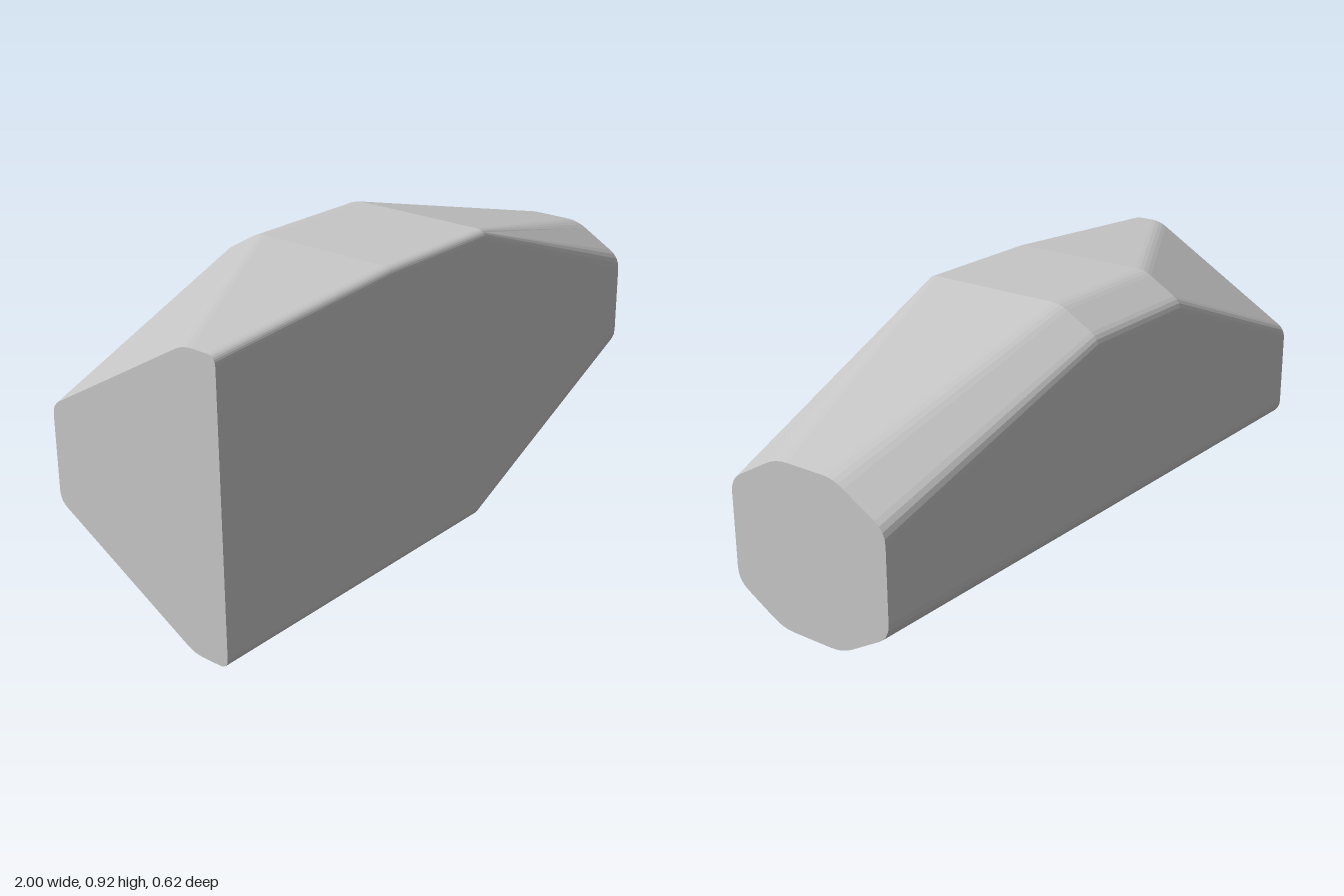
import * as THREE from 'three';

// Cross-sections along x. Eight [z, y] corners each, running from the front top
// down, under, up the back and over; coincident corners merge into one round.
const shoulder = (top, ridgeZ, backY) => [
  [0.31, top], [0.31, 0], [0.31, 0], [0.19, 0],
  [-0.31, 0.289], [-0.31, backY], [ridgeZ, top], [0.31, top],
];
const nose = [
  [0.232, 0.585], [0.232, 0.287], [0.07, 0.193], [-0.144, 0.193],
  [-0.31, 0.289], [-0.31, 0.585], [-0.14, 0.683], [0.06, 0.683],
];
const sections = [
  { x: -1, corners: shoulder(0.87, 0.2, 0.575), round: 0.03 },
  { x: -0.33, corners: shoulder(0.915, -0.175, 0.837), round: 0.03 },
  { x: 0.1, corners: shoulder(0.915, -0.175, 0.837), round: 0.03 },
  { x: 1, corners: nose, round: 0.04 },
];
const STEPS = 4;

// Round every corner with a short curve; merged corners share one curve by halves
function roundedRing({ x, corners, round }) {
  const pts = corners.map(([z, y]) => new THREE.Vector3(x, y, z));
  const n = pts.length;
  const ring = [];
  pts.forEach((p, i) => {
    let prev = pts[(i + n - 1) % n], next = pts[(i + 1) % n];
    let from = 0, to = 1;
    if (next.equals(p)) { next = pts[(i + 2) % n]; to = 0.5; }
    if (prev.equals(p)) { prev = pts[(i + n - 2) % n]; from = 0.5; }
    const toward = (q) => p.clone().add(q.clone().sub(p).setLength(round));
    const curve = new THREE.QuadraticBezierCurve3(toward(prev), p, toward(next));
    for (let k = 0; k <= STEPS; k++) ring.push(curve.getPoint(from + (to - from) * k / STEPS));
  });
  return ring;
}

function toMesh(name, triangles, material) {
  const geometry = new THREE.BufferGeometry().setFromPoints(triangles);
  geometry.computeVertexNormals();
  const mesh = new THREE.Mesh(geometry, material);
  mesh.name = name;
  return mesh;
}

export function createModel() {
  const group = new THREE.Group();
  group.name = 'taperedBlock';
  const grey = new THREE.MeshStandardMaterial({ name: 'light grey', color: 0xc6c6c6 });
  const rings = sections.map(roundedRing);
  const count = rings[0].length;

  // Outer skin between neighbouring sections
  const skin = [];
  for (let s = 0; s < rings.length - 1; s++) {
    for (let i = 0; i < count; i++) {
      const j = (i + 1) % count;
      const a = rings[s][i], b = rings[s + 1][i], c = rings[s + 1][j], d = rings[s][j];
      for (const tri of [[a, d, c], [a, c, b]]) {
        const area = new THREE.Triangle(...tri).getArea();
        if (area > 1e-9) skin.push(...tri);
      }
    }
  }
  group.add(toMesh('body', skin, grey));

  // Flat end faces
  const cap = (ring, flip) => {
    const centre = ring.reduce((sum, p) => sum.add(p), new THREE.Vector3()).divideScalar(count);
    return ring.flatMap((p, i) => {
      const q = ring[(i + 1) % count];
      if (p.distanceTo(q) < 1e-7) return [];
      return flip ? [centre, q, p] : [centre, p, q];
    });
  };
  group.add(toMesh('wideEnd', cap(rings[0], true), grey));
  group.add(toMesh('narrowEnd', cap(rings[rings.length - 1], false), grey));
  return group;
}
